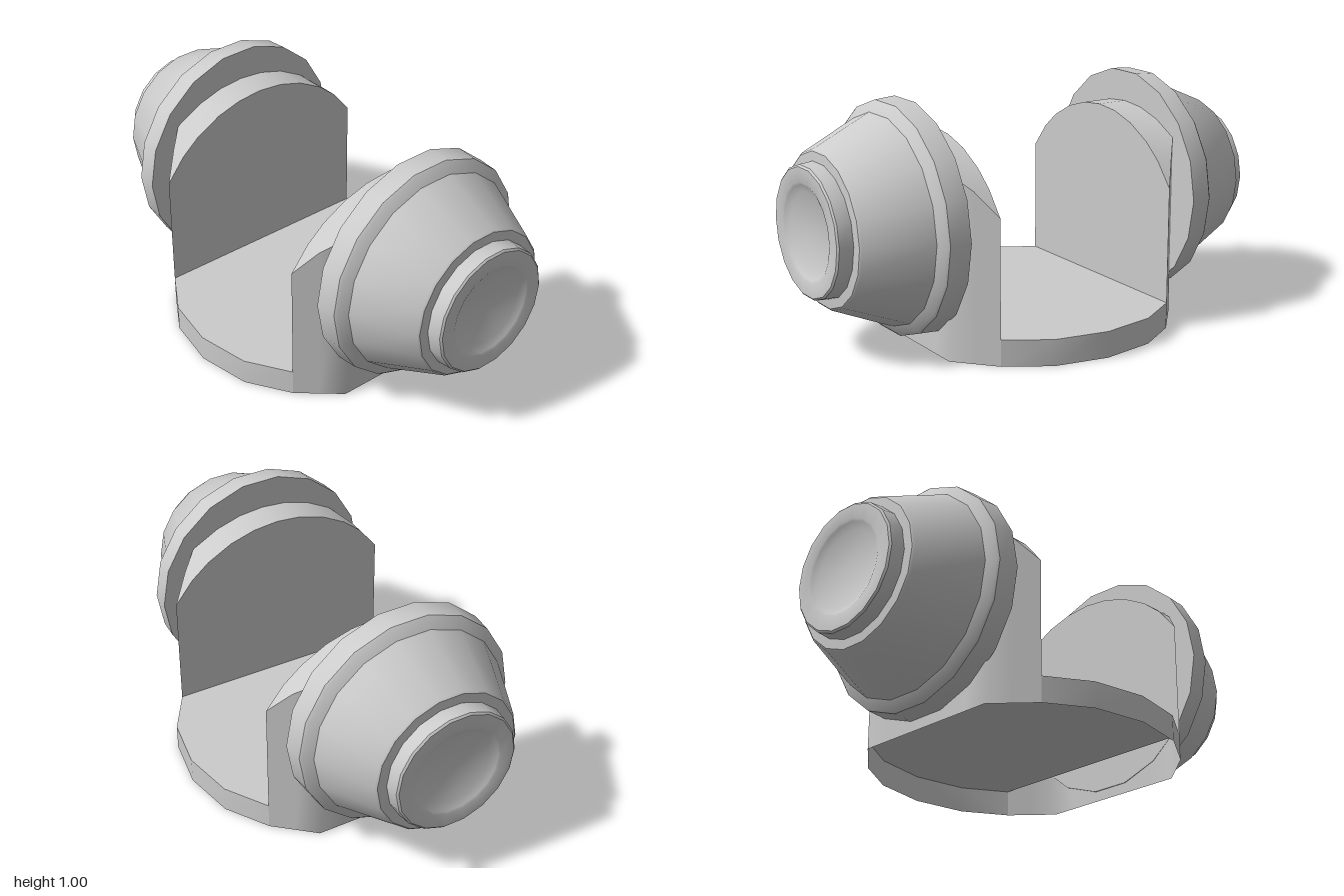
import * as THREE from 'three';
import { toCreasedNormals } from 'three/addons/utils/BufferGeometryUtils.js';

// Skin a list of cross-sections (each a list of [x, y, z] points)
function loft(rows, crease) {
  const pos = [];
  for (let i = 0; i < rows.length - 1; i++) {
    for (let j = 0; j < rows[i].length - 1; j++) {
      const a = rows[i][j], b = rows[i][j + 1], c = rows[i + 1][j + 1], d = rows[i + 1][j];
      pos.push(...a, ...d, ...c, ...a, ...c, ...b);
    }
  }
  const g = new THREE.BufferGeometry();
  g.setAttribute('position', new THREE.Float32BufferAttribute(pos, 3));
  return toCreasedNormals(g, crease);
}

export function createModel() {
  const model = new THREE.Group();
  model.name = 'yokeWithHubs';
  const material = new THREE.MeshStandardMaterial({ color: 0xcccccc, side: THREE.DoubleSide });
  const add = (geometry, name, turn = 0, y = 0) => {
    const mesh = new THREE.Mesh(geometry, material);
    mesh.name = name;
    mesh.rotation.y = turn;
    mesh.position.y = y;
    model.add(mesh);
    return mesh;
  };

  const floorY = 0.11, innerX = 0.41, outerX = 0.55, halfZ = 0.49, flatZ = 0.33;

  // Base plate with curved front and back rims, open underneath
  const outline = [[0.41, 0.49], [0.23, 0.6], [0, 0.64], [-0.23, 0.6], [-0.41, 0.49]];
  const baseRows = outline.map(([x, z]) => [[x, 0, -z], [x, floorY, -z], [x, floorY, z], [x, 0, z]]);
  add(loft(baseRows, 0.7), 'basePlate');

  // Upright walls: arched top, outer face angled in towards front and back, hollow
  const wallRows = [-0.49, -0.41, -0.33, -0.22, -0.11, 0, 0.11, 0.22, 0.33, 0.41, 0.49].map((z) => {
    const top = 0.29 + Math.sqrt(0.58 * 0.58 - z * z);
    const t = Math.max(0, (Math.abs(z) - flatZ) / (halfZ - flatZ));
    const x = outerX + (innerX - outerX) * t;
    return [[innerX, floorY, z], [innerX, top, z], [x, top, z], [x, 0, z]];
  });
  const wall = loft(wallRows, 0.95);

  // Conical hub with flange, stepped nose and dished cap, as [distance from centre, radius]
  const profile = [
    [0.545, 0], [0.545, 0.484], [0.635, 0.478], [0.645, 0.468], [0.667, 0.432],
    [0.925, 0.32], [0.932, 0.312], [0.935, 0.273], [0.993, 0.268], [1, 0.26],
    [1, 0.2], [0.995, 0.19], [0.98, 0.162], [0.978, 0],
  ].map(([d, r]) => new THREE.Vector2(r, d));
  const hub = new THREE.LatheGeometry(profile, 18);
  hub.rotateZ(-Math.PI / 2);
  const hubGeometry = toCreasedNormals(hub, 0.6);

  [['left', 0], ['right', Math.PI]].forEach(([side, turn]) => {
    add(wall, side + 'Wall', turn);
    add(hubGeometry, side + 'Hub', turn + 0.012, 0.522);
  });

  return model;
}
